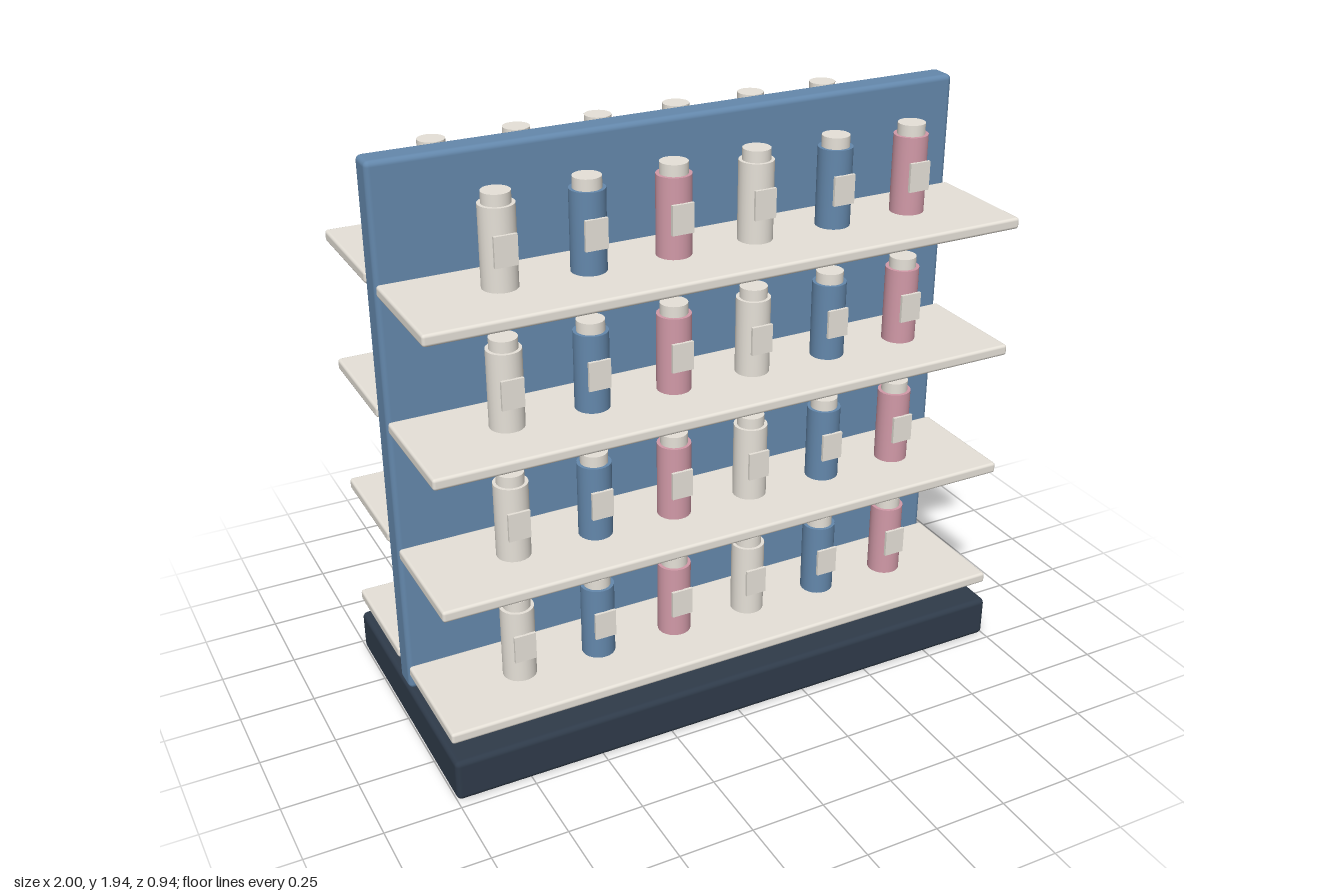
import * as THREE from 'three';
import { RoundedBoxGeometry } from 'three/addons/geometries/RoundedBoxGeometry.js';

const mat = (color) => new THREE.MeshStandardMaterial({ color });

export function createModel() {
  const model = new THREE.Group();
  model.name = 'displayShelf';

  const navy = mat(0x2f3b4a);
  const blue = mat(0x6488ac);
  const pink = mat(0xd29aa8);
  const cream = mat(0xe6e1d8);

  function add(parent, name, geometry, material, x, y, z) {
    const mesh = new THREE.Mesh(geometry, material);
    mesh.name = name;
    mesh.position.set(x, y, z);
    parent.add(mesh);
    return mesh;
  }

  // plinth and upright divider
  add(model, 'base', new RoundedBoxGeometry(2, 0.145, 0.944, 2, 0.018), navy, 0, 0.0725, 0);
  add(model, 'centrePanel', new RoundedBoxGeometry(2, 1.8, 0.094, 2, 0.018), blue, 0, 1.045, 0);

  // shared geometry for shelves and bottles
  const shelfGeo = new RoundedBoxGeometry(2, 0.038, 0.402, 2, 0.01);
  const bodyGeo = new THREE.CylinderGeometry(0.055, 0.055, 0.253, 24);
  const capGeo = new THREE.CylinderGeometry(0.044, 0.044, 0.036, 24);
  const labelGeo = new THREE.BoxGeometry(0.072, 0.094, 0.01);
  const bodyColors = [cream, blue, pink];

  function addBottle(x, y, z, material) {
    const bottle = new THREE.Group();
    bottle.name = 'bottle';
    bottle.position.set(x, y, z);
    add(bottle, 'bottleBody', bodyGeo, material, 0, 0.1265, 0);
    add(bottle, 'bottleCap', capGeo, cream, 0, 0.271, 0);
    add(bottle, 'bottleLabel', labelGeo, cream, 0, 0.128, 0.058);
    model.add(bottle);
  }

  // four levels on each side of the panel, six bottles per shelf
  for (let level = 0; level < 4; level++) {
    const y = 0.227 + level * 0.4447;
    for (const side of [1, -1]) {
      add(model, side > 0 ? 'frontShelf' : 'backShelf', shelfGeo, cream, 0, y, side * 0.255);
      for (let i = 0; i < 6; i++) {
        addBottle(-0.697 + i * 0.278, y + 0.035, side * 0.264, bodyColors[i % 3]);
      }
    }
  }

  return model;
}
